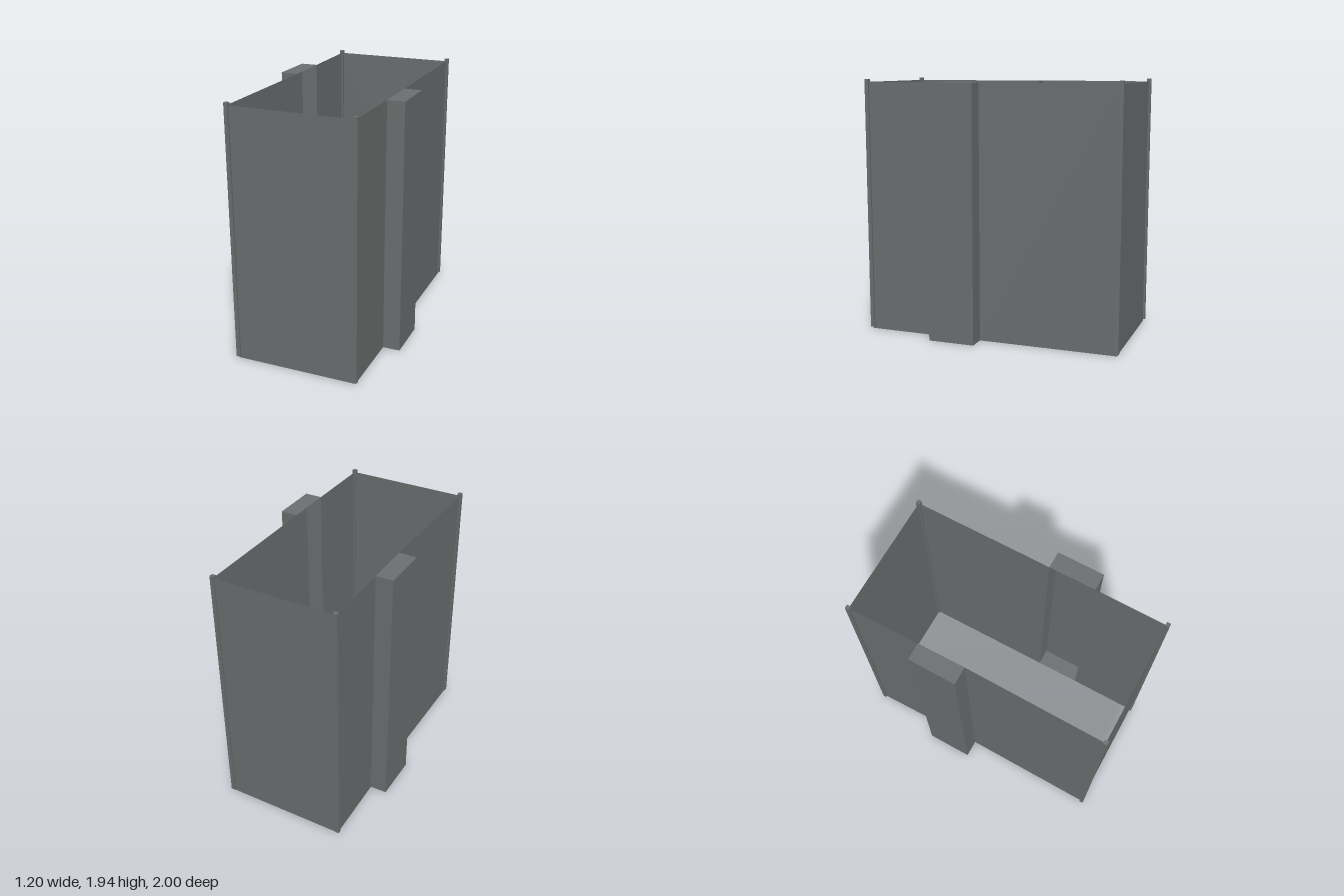
import * as THREE from 'three';

export function createModel() {
  const group = new THREE.Group();
  group.name = 'roomShell';
  const grey = new THREE.MeshStandardMaterial({ color: 0x6c7070, side: THREE.DoubleSide });
  grey.name = 'plainGrey';
  const H = 1.92;

  const add = (name, geometry, parent = group) => {
    const mesh = new THREE.Mesh(geometry, grey);
    mesh.name = name;
    parent.add(mesh);
    return mesh;
  };

  // corners of the slightly skewed floor plan, as [x, z]
  const backLeft = [-0.487, -0.974], backRight = [0.445, -0.986];
  const frontRight = [0.471, 0.967], frontLeft = [-0.46, 0.979];

  // alcoves that bulge out of the two long walls, open to the inside
  const alcoveA = [[-0.463, -0.07], [-0.597, -0.068], [-0.6, -0.427], [-0.471, -0.43]];
  const alcoveB = [[0.46, 0.063], [0.592, 0.061], [0.597, 0.418], [0.466, 0.421]];

  // thin upright wall between two plan points
  const wall = (name, a, b, parent) => {
    const dx = b[0] - a[0], dz = b[1] - a[1];
    const mesh = add(name, new THREE.PlaneGeometry(Math.hypot(dx, dz), H), parent);
    mesh.position.set((a[0] + b[0]) / 2, H / 2, (a[1] + b[1]) / 2);
    mesh.rotation.y = Math.atan2(-dz, dx);
  };

  // end walls and the long walls either side of each alcove
  wall('backWall', backRight, backLeft);
  wall('frontWall', frontLeft, frontRight);
  wall('rightWallBack', backLeft, alcoveA[3]);
  wall('rightWallFront', alcoveA[0], frontLeft);
  wall('leftWallBack', alcoveB[0], backRight);
  wall('leftWallFront', frontRight, alcoveB[3]);

  // alcove sides with caps at top and bottom
  const alcove = (name, pts) => {
    const part = new THREE.Group();
    part.name = name;
    group.add(part);
    for (let i = 0; i < 3; i++) wall('alcoveSide', pts[i + 1], pts[i], part);
    const shape = new THREE.Shape(pts.map(([x, z]) => new THREE.Vector2(x, -z)));
    for (const y of [0, H]) {
      const cap = add(y ? 'alcoveTop' : 'alcoveBottom', new THREE.ShapeGeometry(shape), part);
      cap.rotation.x = -Math.PI / 2;
      cap.position.y = y;
    }
  };
  alcove('rightAlcove', alcoveA);
  alcove('leftAlcove', alcoveB);

  // slim corner posts, standing a little above the walls
  const post = new THREE.BoxGeometry(0.03, 1.925, 0.03);
  for (const [x, z] of [backLeft, backRight, frontRight, frontLeft]) {
    const mesh = add('cornerPost', post);
    mesh.position.set(x, 0.9775, z);
    mesh.rotation.y = 0.013;
  }
  return group;
}
